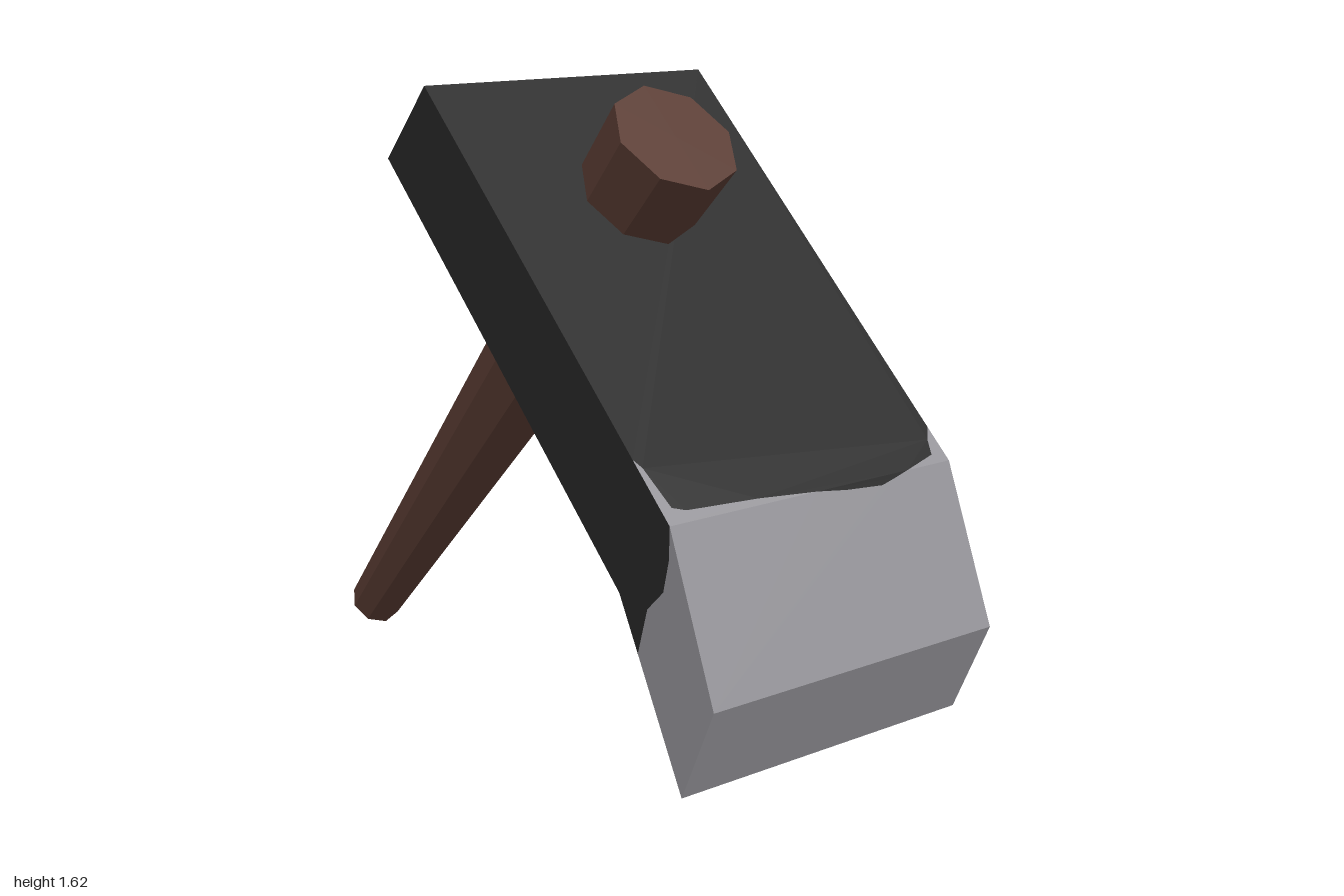
import * as THREE from 'three';
import { mergeGeometries } from 'three/addons/utils/BufferGeometryUtils.js';

// Head profile corners as [z, y]
const A = [-0.015, 1.62], B = [-0.172, 1.445], C = [0.7, 0.667];
const D = [0.91, 0.299], E = [0.998, 0.513], F = [0.853, 0.85];
const W = 0.387; // half width

const mix = (p, q, t) => [p[0] + (q[0] - p[0]) * t, p[1] + (q[1] - p[1]) * t];

// Fills a flat outline, then places each of its points in space by a rule
function fill(outline, place) {
  const geo = new THREE.ShapeGeometry(new THREE.Shape(outline.map(p => new THREE.Vector2(...p))));
  const pos = geo.attributes.position;
  for (let i = 0; i < pos.count; i++) {
    const [x, y, z] = place(pos.getX(i), pos.getY(i));
    // the head sits very slightly askew
    pos.setXYZ(i, x + 0.011 * (y - 0.9), y - 0.007 * x, z + 0.008 * x);
  }
  const flat = geo.toNonIndexed();
  flat.computeVertexNormals();
  return flat;
}

// Face across the head between profile points p (t = 0) and q (t = 1);
// going round as D, E, F, A, B, C makes every face point outwards
const across = (p, q, outline) => fill(outline, (x, t) => {
  const [z, y] = mix(p, q, t);
  return [x, y, z];
});
const full = [[-W, 0], [W, 0], [W, 1], [-W, 1]];

// Side face at x = side * W, outline in [z, y]
const cheek = (side, outline) =>
  fill(outline.map(([z, y]) => [-side * z, y]), (u, y) => [side * W, y, -side * u]);

export function createModel() {
  const group = new THREE.Group();
  const blackIron = new THREE.MeshStandardMaterial({ color: 0x282828 });
  const steel = new THREE.MeshStandardMaterial({ color: 0x949398 });
  const wood = new THREE.MeshStandardMaterial({ color: 0x5a3c33 });
  for (const material of [blackIron, steel, wood]) material.flatShading = true;

  // Ragged edge of the black finish, left to right on each face
  const onTop = ([x, y]) => [x, (y - F[1]) / (A[1] - F[1])];
  const onBlade = ([x, y]) => [x, (y - E[1]) / (F[1] - E[1])];
  const topLeft = [[-W, 0.955], [-0.375, 0.94], [-0.36, 0.875], [-0.33, 0.867], [-0.15, 0.86], [0, 0.85]].map(onTop);
  const topRight = [[0.26, 0.85], [0.35, 0.865], [0.365, 0.89], [W, 0.91]].map(onTop);
  const sag = [[0, 0.85], [0.08, 0.84], [0.18, 0.833], [0.22, 0.841], [0.26, 0.85]].map(onBlade);
  const below = [[-W, 0.3], [-0.375, 0.6], [-0.2, 0.64], [0.1, 0.61], [0.3, 0.63], [0.37, 0.58], [W, 0.16]];
  const sideEdge = t => [F, [0.853, 0.78], [0.838, 0.71], [0.79, 0.66], mix(C, D, t)];
  const sides = [[1, 0.16], [-1, 0.3]];

  const dark = [
    across(F, A, [...topLeft, ...topRight, [W, 1], [-W, 1]]),
    across(E, F, sag),
    across(A, B, full),
    across(B, C, full),
    across(C, D, [[-W, 0], [W, 0], ...[...below].reverse()]),
    ...sides.map(([s, t]) => cheek(s, [A, ...sideEdge(t), C, B])),
  ];
  const bright = [
    across(F, A, [[-W, 0], ...[...topLeft].reverse()]),
    across(F, A, [[W, 0], ...[...topRight].reverse()]),
    across(E, F, [[-W, 0], [W, 0], [W, 1], ...[...sag].reverse(), [-W, 1]]),
    across(D, E, full),
    across(C, D, [...below, [W, 1], [-W, 1]]),
    ...sides.map(([s, t]) => cheek(s, [E, D, ...sideEdge(t).reverse()])),
  ];

  const head = new THREE.Mesh(mergeGeometries(dark), blackIron);
  head.name = 'head';
  const blade = new THREE.Mesh(mergeGeometries(bright), steel);
  blade.name = 'blade';

  // Tapered eight-sided handle through the head
  const foot = new THREE.Vector3(0.006, 0.048, -0.951);
  const top = new THREE.Vector3(0.002, 1.523, 0.379);
  const handle = new THREE.Mesh(
    new THREE.CylinderGeometry(0.15, 0.071, foot.distanceTo(top), 8), wood);
  handle.name = 'handle';
  handle.position.copy(foot).add(top).multiplyScalar(0.5);
  handle.rotation.x = Math.atan2(top.z - foot.z, top.y - foot.y);

  group.add(head, blade, handle);
  return group;
}
